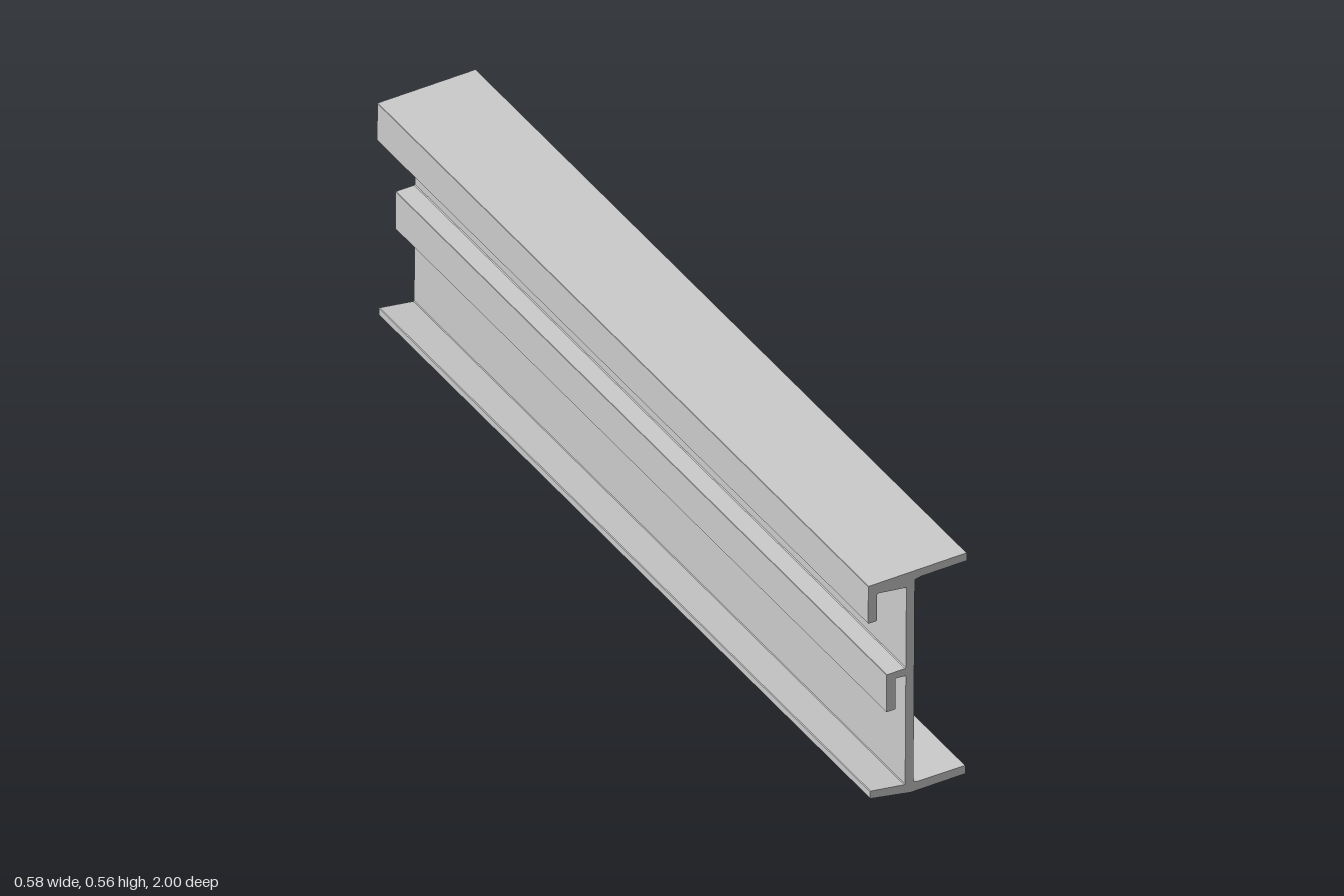
import * as THREE from 'three';

const LENGTH = 1.984;
const HEIGHT = 0.561;
const YAW = THREE.MathUtils.degToRad(-10);
const END_LEAN = 0.006; // the end cuts lean slightly

// Closed cross-section, counter-clockwise: x across the beam, y up
const SECTION = [
  // bottom flange
  [-0.111, 0.021], [-0.109, 0.019], [-0.014, 0], [0.116, 0], [0.117, 0.001],
  [0.117, 0.020], [0.116, 0.021], [0.004, 0.022],
  // web, right side
  [-0.006, 0.024], [-0.007, 0.026], [-0.007, 0.535], [-0.006, 0.538],
  // top flange
  [0.008, 0.541], [0.116, 0.541], [0.117, 0.542], [0.117, 0.560], [0.116, 0.561],
  [-0.117, 0.561], [-0.118, 0.560],
  // hanging lip of the top flange
  [-0.118, 0.467], [-0.117, 0.466], [-0.098, 0.466], [-0.097, 0.467],
  [-0.097, 0.533], [-0.095, 0.535], [-0.027, 0.525],
  // middle hook
  [-0.027, 0.322], [-0.029, 0.320], [-0.072, 0.320], [-0.073, 0.319],
  [-0.073, 0.226], [-0.072, 0.225], [-0.052, 0.225], [-0.051, 0.226],
  [-0.051, 0.301], [-0.049, 0.303], [-0.029, 0.301], [-0.027, 0.299],
  // web, left side, down to the bottom flange
  [-0.027, 0.026], [-0.029, 0.025], [-0.109, 0.038], [-0.111, 0.037],
];

export function createModel() {
  const group = new THREE.Group();
  group.name = 'beam';

  const shape = new THREE.Shape(SECTION.map(([x, y]) => new THREE.Vector2(x, y)));
  const geometry = new THREE.ExtrudeGeometry(shape, { depth: LENGTH, bevelEnabled: false, steps: 1 });
  geometry.translate(0, 0, -LENGTH / 2);

  // Lean both end cuts by sliding the vertices along the beam with height
  const p = geometry.attributes.position;
  for (let i = 0; i < p.count; i++) {
    p.setZ(i, p.getZ(i) + END_LEAN * (p.getY(i) / HEIGHT - 0.5));
  }
  geometry.computeVertexNormals();

  const beam = new THREE.Mesh(geometry, new THREE.MeshStandardMaterial({ color: 0xcccccc }));
  beam.name = 'flangedBeam';
  beam.rotation.y = YAW;
  group.add(beam);
  return group;
}
